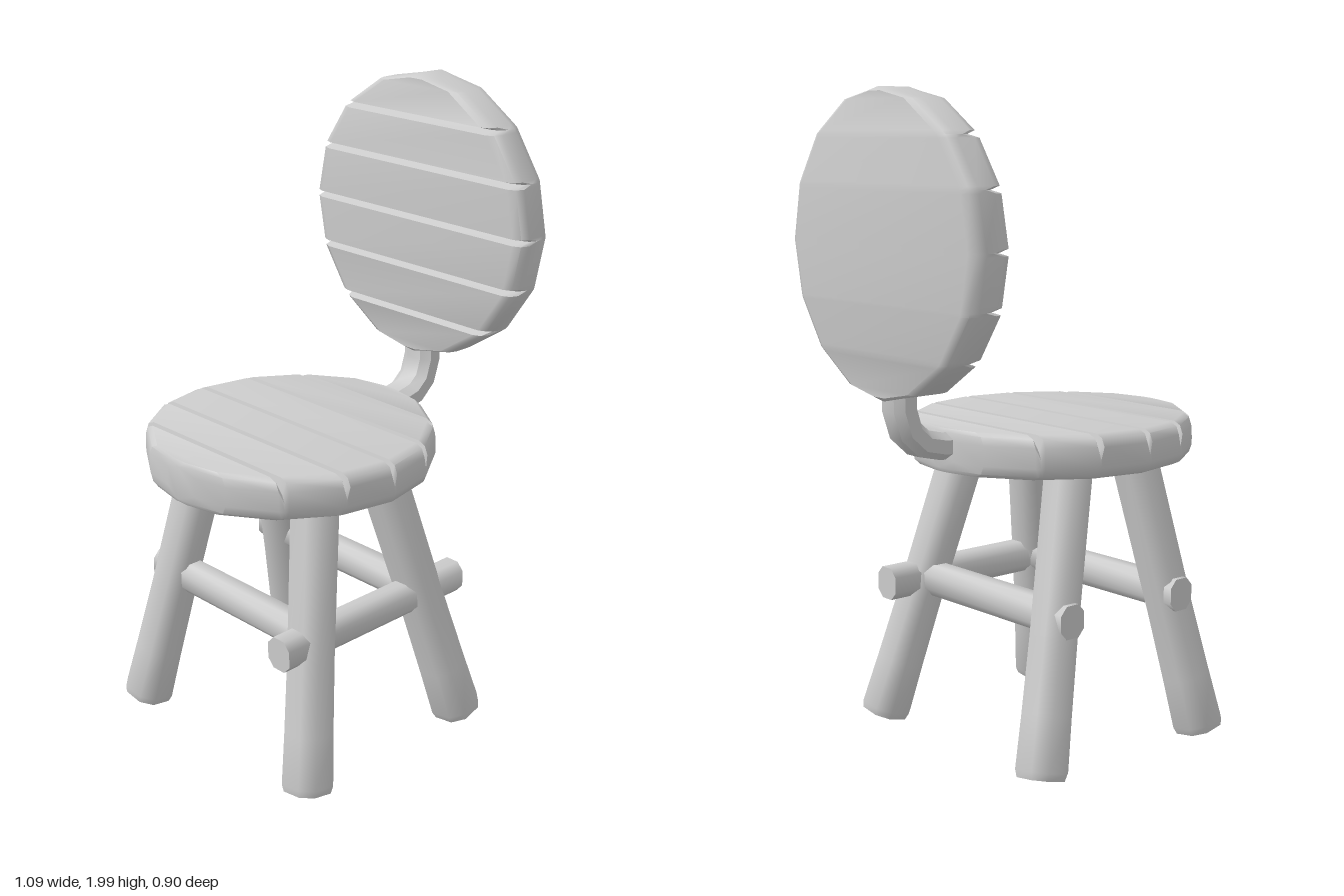
import * as THREE from 'three';
import { toCreasedNormals } from 'three/addons/utils/BufferGeometryUtils.js';

const V = (x, y, z) => new THREE.Vector3(x, y, z);

// Skin a row of equal-length rings and close both ends
function loft(rings, crease) {
  const n = rings[0].length, pos = [], index = [];
  rings.forEach(r => r.forEach(p => pos.push(p.x, p.y, p.z)));
  for (let i = 0; i < rings.length - 1; i++) {
    for (let j = 0; j < n; j++) {
      const a = i * n + j, b = i * n + (j + 1) % n;
      index.push(a, b, b + n, a, b + n, a + n);
    }
  }
  const last = (rings.length - 1) * n;
  for (let j = 1; j < n - 1; j++) {
    index.push(0, j + 1, j, last, last + j, last + j + 1);
  }
  const g = new THREE.BufferGeometry();
  g.setAttribute('position', new THREE.Float32BufferAttribute(pos, 3));
  g.setIndex(index);
  return toCreasedNormals(g, crease);
}

// Sweep a chamfered rectangle along a path; each step is [point, scale]
function sweep(steps, ref, ha, hb, crease = 0.9) {
  const k = 0.5;
  const outline = [[1, -k], [1, k], [k, 1], [-k, 1], [-1, k], [-1, -k], [-k, -1], [k, -1]];
  const rings = steps.map(([p, s], i) => {
    const next = steps[Math.min(i + 1, steps.length - 1)][0];
    const prev = steps[Math.max(i - 1, 0)][0];
    const t = next.clone().sub(prev).normalize();
    const a = ref.clone().addScaledVector(t, -ref.dot(t)).normalize();
    const b = t.clone().cross(a);
    return outline.map(([u, v]) =>
      p.clone().addScaledVector(a, u * ha * s).addScaledVector(b, v * hb * s));
  });
  return loft(rings, crease);
}

// Sixteen-sided plank disc: flat underneath, grooved on top
function plankDisc() {
  const R = 0.44, H = 0.132, half = 0.01, depth = 0.036;
  const grooves = [-0.31, -0.16, 0, 0.165, 0.31];
  const corners = [];
  for (let i = 0; i <= 8; i++) {
    const a = Math.PI * i / 8;
    corners.push([-R * Math.cos(a), R * Math.sin(a)]);
  }
  const width = u => {
    for (let i = 0; i < 8; i++) {
      const [u0, w0] = corners[i], [u1, w1] = corners[i + 1];
      if (u <= u1) return w0 + (w1 - w0) * (u - u0) / (u1 - u0);
    }
    return 0;
  };
  // columns: [position, top height, bottom height]
  const cols = [[-R, H - 0.015, 0.015], [-R + 0.012, H, 0], [R - 0.012, H, 0], [R, H - 0.015, 0.015]];
  for (const s of [-1, 1]) cols.push([s * R * Math.cos(Math.PI / 8), H, 0]);
  for (const g of grooves) cols.push([g - half, H, 0], [g, H - depth, 0], [g + half, H, 0]);
  cols.sort((a, b) => a[0] - b[0]);
  const rings = cols.map(([u, T, B]) => {
    const w = Math.max(width(u), 0.006), r = Math.min(0.036, w * 0.6);
    const side = [[T, w - r], [T - 0.3 * r, w - 0.3 * r], [T - r, w],
      [B + r, w], [B + 0.3 * r, w - 0.3 * r], [B, w - r]];
    const other = side.map(([y, z]) => [y, -z]).reverse();
    return [...side, ...other].map(([y, z]) => V(u, y, z));
  });
  return loft(rings, 0.82);
}

export function createModel() {
  const model = new THREE.Group();
  model.name = 'chair';
  const material = new THREE.MeshStandardMaterial({ color: 0xcccccc });
  material.name = 'pale grey';
  const add = (name, geometry) => {
    const m = new THREE.Mesh(geometry, material);
    m.name = name;
    model.add(m);
    return m;
  };

  // Seat and backrest share the same plank disc
  const disc = plankDisc();
  add('seat', disc).position.set(-0.108, 0.889, 0);
  const back = add('backrest', disc);
  back.position.set(0.543, 1.56, 0);
  back.rotation.z = Math.PI / 2;

  // Bent bracket joining seat and backrest
  const bend = [[0.24, 0.97], [0.34, 0.97], [0.405, 0.985], [0.45, 1.025], [0.471, 1.09], [0.471, 1.2]];
  add('backBracket', sweep(bend.map(([x, y]) => [V(x, y, 0), 1]), V(0, 0, 1), 0.057, 0.041, 0.6));

  // Splayed legs, mirrored front to back
  const legs = [
    { side: 'right', top: -0.235, foot: -0.398 },
    { side: 'left', top: 0.033, foot: 0.262 },
  ];
  for (const { side, top, foot } of legs) {
    for (const s of [1, -1]) {
      const at = t => V(top + (foot - top) * t, 0.9 + (0.033 - 0.9) * t, s * (0.243 + 0.137 * t));
      const steps = [[at(-0.04), 1], [at(0.55), 0.98], [at(0.8), 1.02], [at(0.975), 1.07], [at(1), 0.98]];
      add(side + (s > 0 ? 'FrontLeg' : 'BackLeg'), sweep(steps, V(1, 0, 0), 0.066, 0.068));
    }
  }

  // Stretchers: one along the front, one on each side
  const bar = (name, a, b) => add(name, sweep([[a, 1], [b, 1]], V(0, 1, 0), 0.05, 0.045));
  bar('frontStretcher', V(-0.445, 0.48, 0.31), V(0.298, 0.48, 0.31));
  bar('rightStretcher', V(-0.305, 0.48, -0.385), V(-0.305, 0.48, 0.31));
  bar('leftStretcher', V(0.145, 0.48, -0.385), V(0.145, 0.48, 0.31));

  return model;
}
